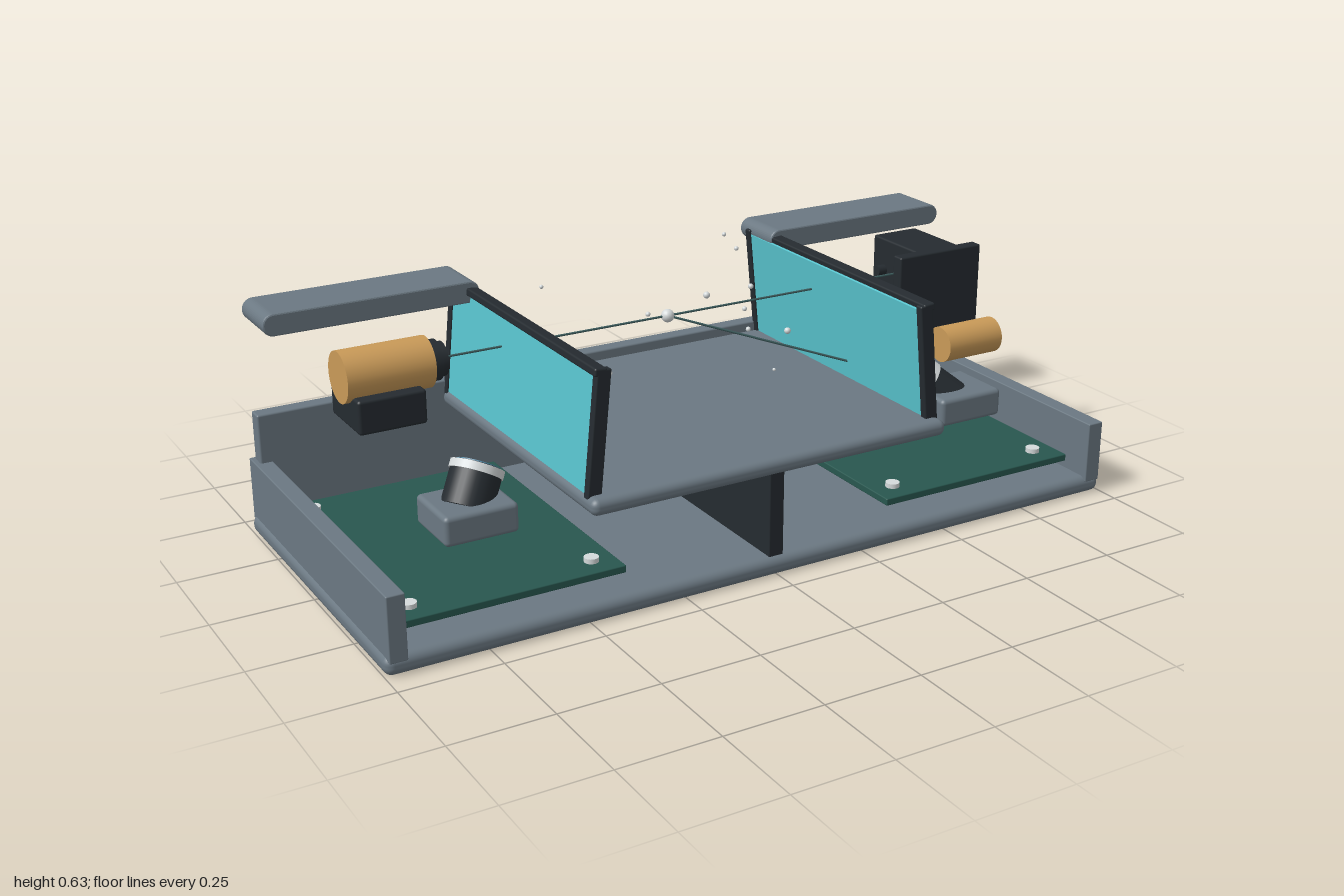
import * as THREE from 'three';
import { RoundedBoxGeometry } from 'three/addons/geometries/RoundedBoxGeometry.js';

const paint = (color) => new THREE.MeshStandardMaterial({ color });

export function createModel() {
  const model = new THREE.Group();
  const grey = paint(0x6b7882), dark = paint(0x252b30), green = paint(0x28574f);
  const brass = paint(0xc99a58), glass = paint(0x58c4ce), pale = paint(0xd5dadb);
  const blue = paint(0x4d86a3), beamPaint = paint(0x3f5f60);

  const add = (name, geometry, material, parent = model) => {
    const mesh = new THREE.Mesh(geometry, material);
    mesh.name = name;
    parent.add(mesh);
    return mesh;
  };
  // box given by its limits on each axis, with rounded edges
  const box = (name, [x0, x1], [y0, y1], [z0, z1], material, r = 0.005, parent = model) => {
    const m = add(name, new RoundedBoxGeometry(x1 - x0, y1 - y0, z1 - z0, 3, r), material, parent);
    m.position.set((x0 + x1) / 2, (y0 + y1) / 2, (z0 + z1) / 2);
    return m;
  };
  // cylinder between two points
  const rod = (name, a, b, r, material, sides = 32) => {
    const p = new THREE.Vector3(...a), q = new THREE.Vector3(...b);
    const d = q.clone().sub(p);
    const m = add(name, new THREE.CylinderGeometry(r, r, d.length(), sides), material);
    m.position.copy(p).add(q).multiplyScalar(0.5);
    m.quaternion.setFromUnitVectors(new THREE.Vector3(0, 1, 0), d.normalize());
    return m;
  };
  const ball = (name, p, r, material) =>
    add(name, new THREE.SphereGeometry(r, 16, 12), material).position.set(...p);

  // housing: floor, back wall, centre divider and raised tray
  box('basePlate', [-1, 1], [0, 0.048], [-0.44, 0.44], grey, 0.021);
  box('backWall', [-0.98, 0.98], [0.03, 0.322], [-0.432, -0.39], grey);
  box('centreDivider', [-0.02, 0.02], [0.04, 0.265], [-0.395, 0.425], dark, 0.003);
  box('tray', [-0.49, 0.49], [0.256, 0.297], [-0.4, 0.432], grey, 0.018);

  // top arm profile with round ends, extruded in depth
  const armShape = new THREE.Shape();
  armShape.absarc(-0.25, 0, 0.024, Math.PI / 2, Math.PI * 1.5);
  armShape.absarc(0.25, 0, 0.024, -Math.PI / 2, Math.PI / 2);
  const armGeometry = new THREE.ExtrudeGeometry(armShape, {
    depth: 0.145, bevelEnabled: true, bevelSize: 0.004, bevelThickness: 0.005, bevelSegments: 2, curveSegments: 10,
  });

  // parts repeated on both sides
  for (const s of [-1, 1]) {
    const span = (a, b) => (s > 0 ? [a, b] : [-b, -a]);
    box('sideWall', span(0.948, 0.992), [0.035, 0.196], [-0.442, 0.442], grey, 0.003);
    box('circuitBoard', span(0.37, 0.95), [0.066, 0.085], [-0.36, 0.36], green, 0.003);
    for (const x of [0.43, 0.885]) for (const z of [-0.3, 0.3])
      rod('screw', [s * x, 0.083, z], [s * x, 0.097, z], 0.018, pale, 20);

    add('topArm', armGeometry, grey).position.set(s * 0.705, 0.583, -0.427);

    // inward leaning window with its frame
    const panel = new THREE.Group();
    panel.name = 'windowPanel';
    panel.position.set(s * 0.47, 0.275, 0);
    panel.rotation.z = s * 0.1;
    model.add(panel);
    box('windowGlass', [-0.013, 0.013], [0, 0.306], [-0.38, 0.38], glass, 0.002, panel);
    for (const z of [-0.387, 0.387])
      box('windowPost', [-0.018, 0.018], [0, 0.318], [z - 0.011, z + 0.011], dark, 0.004, panel);
    const cx = s * 0.008;
    box('windowTopBar', [cx - 0.016, cx + 0.016], [0.3, 0.32], [-0.398, 0.398], dark, 0.005, panel);
  }

  // beam source on the right-hand side
  rod('sourceBarrel', [-0.874, 0.498, -0.09], [-0.655, 0.498, -0.09], 0.063, brass);
  rod('sourceCollar', [-0.66, 0.498, -0.09], [-0.63, 0.498, -0.09], 0.05, dark);
  rod('sourceNozzle', [-0.632, 0.498, -0.09], [-0.614, 0.498, -0.09], 0.042, dark);
  box('sourceMount', [-0.86, -0.69], [0.375, 0.46], [-0.185, -0.01], dark, 0.008);

  // beam stop on the left-hand side
  box('stopPlate', [0.62, 0.88], [0.32, 0.59], [0.012, 0.046], dark);
  box('stopBlock', [0.7, 0.837], [0.41, 0.585], [-0.186, 0.012], dark, 0.006);
  rod('stopPin', [0.675, 0.5, -0.135], [0.702, 0.5, -0.135], 0.014, dark, 16);
  box('sensorBar', [0.495, 0.525], [0.218, 0.246], [-0.02, 0.205], dark, 0.003);

  // aimed lens: dark barrel, pale ring and blue glass
  const lens = (tail, head, r) => {
    const a = new THREE.Vector3(...tail), b = new THREE.Vector3(...head);
    const d = b.clone().sub(a).normalize();
    const at = (t) => b.clone().addScaledVector(d, t).toArray();
    rod('lensBarrel', tail, head, r * 0.95, dark);
    rod('lensRing', at(-0.016), at(0.004), r, pale);
    rod('lensRim', at(0.002), at(0.006), r * 0.88, dark);
    rod('lensGlass', at(0.004), at(0.009), r * 0.8, blue);
  };
  lens([-0.652, 0.192, 0.1], [-0.605, 0.275, 0.068], 0.066);
  box('lensBracket', [-0.745, -0.557], [0.145, 0.22], [0.02, 0.19], grey, 0.012);
  lens([0.71, 0.205, 0.155], [0.64, 0.265, 0.115], 0.072);
  box('lensBracket', [0.622, 0.812], [0.185, 0.259], [0.076, 0.246], grey, 0.012);
  rod('detectorBarrel', [0.705, 0.36, 0.115], [0.875, 0.36, 0.115], 0.047, brass);

  // beams meeting at the sample
  const sample = [0, 0.5, -0.09];
  rod('mainBeam', [-0.62, 0.5, -0.09], [0.7, 0.5, -0.09], 0.003, beamPaint, 8);
  rod('scatterBeam', sample, [0.63, 0.28, 0.115], 0.003, beamPaint, 8);
  ball('sample', sample, 0.017, pale);

  // drifting particles: x, y, z, radius
  const specks = [
    [-0.34, 0.625, -0.11, 0.005], [-0.15, 0.577, 0.077, 0.006], [-0.29, 0.473, 0.14, 0.007],
    [-0.32, 0.43, -0.025, 0.006], [-0.2, 0.387, -0.085, 0.006], [0.017, 0.565, 0.262, 0.006],
    [0.083, 0.57, 0.14, 0.006], [0.12, 0.547, 0.274, 0.008], [0.147, 0.515, -0.145, 0.009],
    [0.243, 0.622, -0.157, 0.006], [0.222, 0.552, -0.052, 0.007], [0.312, 0.607, -0.33, 0.006],
    [0.054, 0.475, 0.32, 0.004],
  ];
  for (const [x, y, z, r] of specks) ball('particle', [x, y, z], r, pale);

  return model;
}
